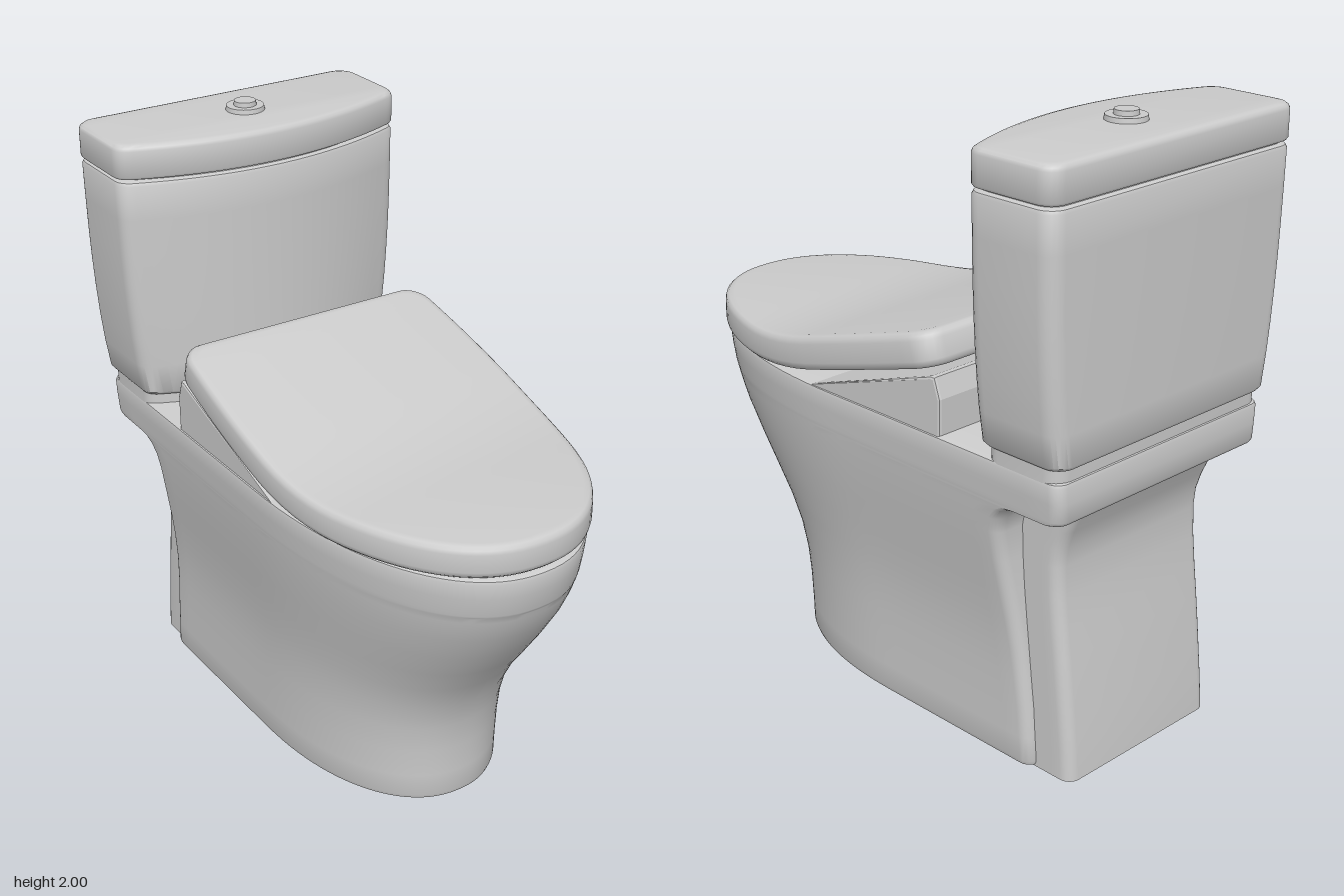
import * as THREE from 'three';
import { toCreasedNormals } from 'three/addons/utils/BufferGeometryUtils.js';

const material = new THREE.MeshStandardMaterial({ color: 0xcccccc });

// Skins a stack of mirrored rings (bottom to top); caps are strips joining left and right points.
function loft(name, rings, crease = 0.7) {
  const pos = [];
  const tri = (...pts) => pts.forEach((p) => pos.push(p.x, p.y, p.z));
  const n = rings[0].length;
  for (let k = 0; k + 1 < rings.length; k++) {
    const lo = rings[k], up = rings[k + 1];
    for (let i = 0; i < n; i++) {
      const j = (i + 1) % n;
      tri(lo[i], up[i], lo[j]);
      tri(lo[j], up[i], up[j]);
    }
  }
  const bottom = rings[0], top = rings[rings.length - 1];
  for (let i = 0; i < (n - 1) / 2; i++) {
    const j = n - 1 - i;
    tri(top[j], top[j - 1], top[i]);
    tri(bottom[j], bottom[i], bottom[j - 1]);
    if (j - 1 > i + 1) {
      tri(top[i], top[j - 1], top[i + 1]);
      tri(bottom[i], bottom[i + 1], bottom[j - 1]);
    }
  }
  const geo = new THREE.BufferGeometry();
  geo.setAttribute('position', new THREE.Float32BufferAttribute(pos, 3));
  return part(name, toCreasedNormals(geo, crease));
}

function part(name, geo) {
  const mesh = new THREE.Mesh(geo, material);
  mesh.name = name;
  return mesh;
}

// Completes a right-hand half outline (last point on the centre line) with its mirror image.
const mirror = (half) => [
  ...half,
  ...half.slice(0, -1).reverse().map((p) => new THREE.Vector3(-p.x, p.y, p.z)),
];

// Rounded corner at the back of an outline.
function backCorner(w, back, r, y) {
  const pts = [];
  for (let i = 0; i <= 6; i++) {
    const a = (i / 6) * Math.PI / 2;
    pts.push(new THREE.Vector3(w - r + r * Math.sin(a), y, back + r - r * Math.cos(a)));
  }
  return pts;
}

// Square back, straight sides, superelliptic nose starting at z0.
function bowlRing({ y, w, front, back, z0, p = 2.2, r = 0.04, taper = 0 }) {
  const half = backCorner(w, back, r, y);
  for (let i = 1; i <= 10; i++) {
    half.push(new THREE.Vector3(w, y, THREE.MathUtils.lerp(back + r, z0, i / 10)));
  }
  for (let i = 1; i <= 24; i++) {
    const a = (i / 24) * Math.PI / 2;
    const x = i === 24 ? 0 : w * Math.cos(a) ** (2 / p);
    half.push(new THREE.Vector3(x, y, z0 + (front - z0) * Math.sin(a) ** (2 / p)));
  }
  half.forEach((v) => { if (v.z < z0) v.x *= 1 - taper * ((z0 - v.z) / (z0 - back)) ** 2; });
  return mirror(half);
}

// Flat back and a gently bowed front.
function tankRing(y, w, inset = 0) {
  w -= inset;
  const half = backCorner(w, -0.925 + inset, 0.055, y);
  const shoulder = new THREE.QuadraticBezierCurve3(
    new THREE.Vector3(w, y, -0.655 - inset),
    new THREE.Vector3(w, y, -0.612 - inset),
    new THREE.Vector3(w - 0.05, y, -0.597 - inset));
  half.push(...shoulder.getPoints(6));
  for (let i = 1; i <= 14; i++) {
    const t = 1 - i / 14;
    half.push(new THREE.Vector3((w - 0.05) * t, y, -0.503 - inset - 0.094 * t * t));
  }
  return mirror(half);
}

export function createModel() {
  const model = new THREE.Group();
  model.name = 'toilet';

  // Bowl body with rear deck: y, half width, front z, back z
  const bodyRows = [
    [0, 0.34, 0.538, -0.715], [0.006, 0.352, 0.55, -0.727], [0.02, 0.357, 0.555, -0.73],
    [0.1, 0.358, 0.556, -0.723], [0.2, 0.36, 0.56, -0.715], [0.3, 0.363, 0.573, -0.702],
    [0.4, 0.369, 0.604, -0.69], [0.5, 0.381, 0.657, -0.678], [0.6, 0.397, 0.727, -0.667],
    [0.7, 0.415, 0.795, -0.659], [0.8, 0.432, 0.856, -0.655], [0.85, 0.439, 0.88, -0.665],
    [0.885, 0.444, 0.894, -0.69], [0.903, 0.446, 0.9, -0.725], [0.908, 0.447, 0.902, -0.77],
    [0.909, 0.447, 0.903, -0.89], [0.914, 0.448, 0.904, -0.905], [0.925, 0.449, 0.908, -0.912],
    [0.98, 0.454, 0.918, -0.912], [1.033, 0.457, 0.924, -0.912], [1.043, 0.454, 0.921, -0.909],
    [1.048, 0.444, 0.911, -0.9],
  ];
  model.add(loft('bowlBody', bodyRows.map(([y, w, front, back]) =>
    bowlRing({ y, w, front, back, z0: -0.1 + 0.14 * y }))));

  // Narrower pedestal behind the bowl: y, back z
  const pedestalRows = [
    [0, -0.868], [0.1, -0.86], [0.2, -0.849], [0.3, -0.838], [0.4, -0.826], [0.5, -0.813],
    [0.6, -0.802], [0.7, -0.797], [0.76, -0.803], [0.82, -0.823], [0.92, -0.87],
  ];
  model.add(loft('rearPedestal', pedestalRows.map(([y, back]) =>
    bowlRing({ y, w: 0.325, front: -0.4, back, z0: -0.5 }))));

  // Seat lid: flat at the front, bending up towards the hinge
  const slopeAt = (z) => 0.28 * THREE.MathUtils.clamp((0.5 - z) / 0.4, 0, 1);
  const riseAt = (z) => (z > 0.1 ? slopeAt(z) * Math.max(0.5 - z, 0) / 2 : 0.056 + 0.28 * (0.1 - z));
  const lidLayers = [
    [0.03, 0], [0.012, 0.003], [0.003, 0.012], [0, 0.025],
    [0, 0.083], [0.003, 0.096], [0.012, 0.105], [0.03, 0.108],
  ];
  const lidRings = lidLayers.map(([inset, v]) => {
    const ring = bowlRing({
      y: 0, w: 0.483 - inset, front: 0.922 - inset, back: -0.415 + inset, z0: 0.06, r: 0.07, taper: 0.05,
    });
    ring.forEach((p) => {
      p.y = 1.053 + riseAt(p.z) + v;
      p.z += v * slopeAt(p.z);
    });
    return ring;
  });
  model.add(loft('seatLid', lidRings));

  // Wedge-shaped hinge housing below the raised end of the lid
  const wedge = new THREE.Shape([
    [-0.16, 1.04], [0.425, 1.04], [0.425, 1.16], [0.405, 1.218], [0.395, 1.218],
  ].map(([x, y]) => new THREE.Vector2(x, y)));
  const housing = part('hingeHousing', new THREE.ExtrudeGeometry(wedge, {
    depth: 0.88, bevelSize: 0.008, bevelThickness: 0.01, bevelSegments: 2,
  }));
  housing.rotation.y = Math.PI / 2;
  housing.position.x = -0.44;
  model.add(housing);

  // Tank foot, tank and tank lid
  model.add(loft('tankFoot', [tankRing(1.04, 0.475, 0.02), tankRing(1.1, 0.475, 0.02)]));
  const tankRows = [
    [1.085, 0.467, 0.02], [1.088, 0.468, 0.008], [1.1, 0.47, 0], [1.2, 0.486, 0], [1.3, 0.497, 0],
    [1.4, 0.505, 0], [1.5, 0.511, 0], [1.6, 0.515, 0], [1.72, 0.518, 0], [1.835, 0.52, 0],
    [1.845, 0.52, 0.004], [1.85, 0.52, 0.016],
  ];
  model.add(loft('tank', tankRows.map((row) => tankRing(...row))));
  model.add(loft('tankNeck', [tankRing(1.84, 0.52, 0.018), tankRing(1.87, 0.52, 0.018)]));
  const tankLidRows = [
    [1.855, 0.014], [1.858, 0.004], [1.866, 0], [1.95, 0], [1.96, 0.003], [1.967, 0.01], [1.97, 0.022],
  ];
  model.add(loft('tankLid', tankLidRows.map(([y, inset]) => tankRing(y, 0.523, inset))));

  // Flush button on its collar
  for (const [name, r, y, h] of [['buttonCollar', 0.065, 1.975, 0.02], ['flushButton', 0.039, 1.985, 0.03]]) {
    const button = part(name, new THREE.CylinderGeometry(r - 0.003, r, h, 40));
    button.position.set(0, y, -0.72);
    model.add(button);
  }
  return model;
}
